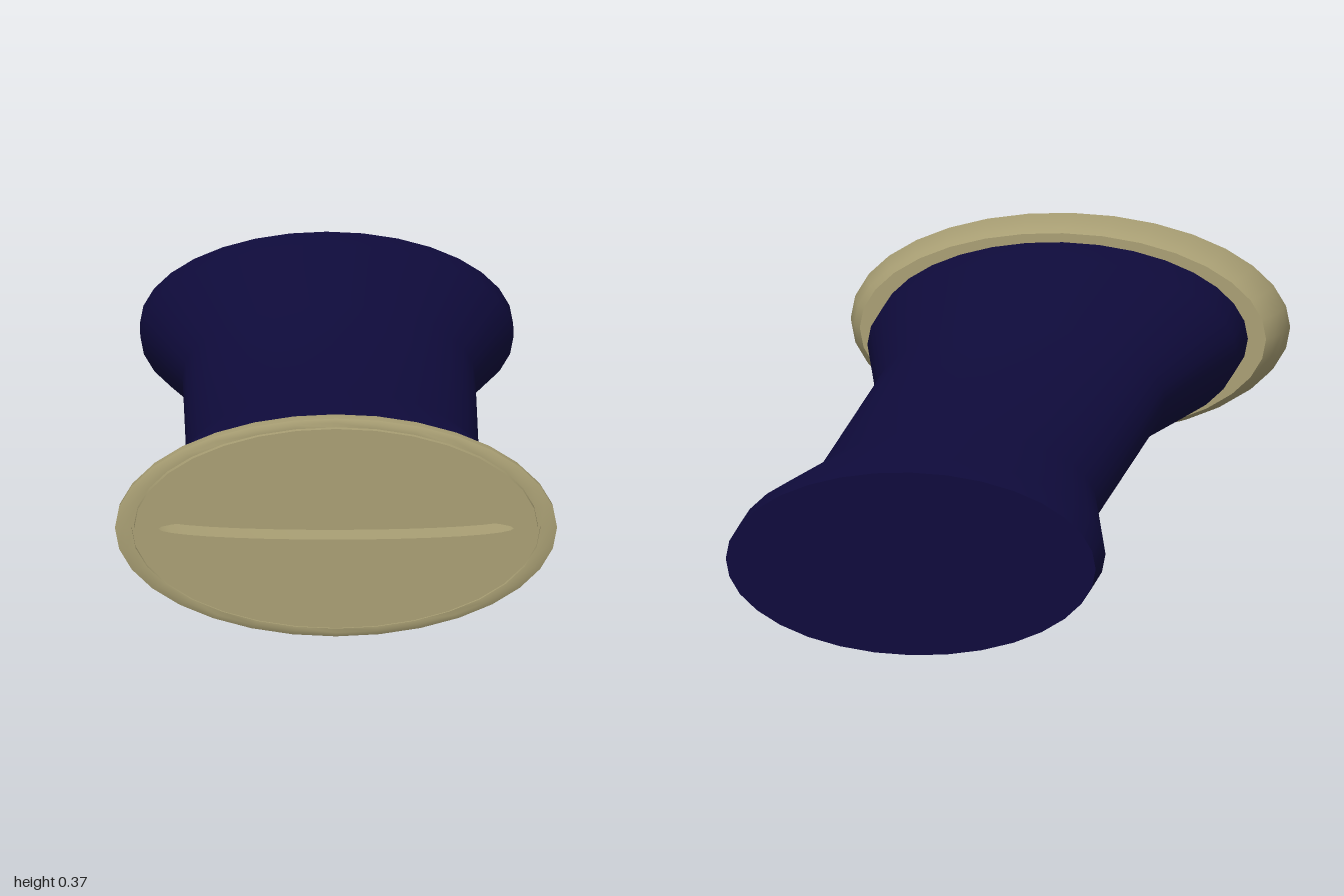
import * as THREE from 'three';
import { toCreasedNormals } from 'three/addons/utils/BufferGeometryUtils.js';

const SEGMENTS = 32;
const FLATTEN = 0.5; // height of the oval section relative to its width

// Oval solid along z from [half width, z] pairs
function ovalLathe(profile, crease) {
  const points = profile.map(([r, z]) => new THREE.Vector2(r, z));
  const geometry = new THREE.LatheGeometry(points, SEGMENTS);
  geometry.rotateX(Math.PI / 2);
  geometry.scale(1, FLATTEN, 1);
  return toCreasedNormals(geometry, crease);
}

function addPart(group, name, geometry, color) {
  const mesh = new THREE.Mesh(geometry, new THREE.MeshStandardMaterial({ color }));
  mesh.name = name;
  group.add(mesh);
}

function ovalPoints(rx, ry) {
  return Array.from({ length: SEGMENTS }, (_, i) => {
    const a = (i / SEGMENTS) * Math.PI * 2;
    return new THREE.Vector2(rx * Math.cos(a), ry * Math.sin(a));
  });
}

export function createModel() {
  const model = new THREE.Group();
  model.name = 'handle';
  const body = new THREE.Group();
  body.position.y = 0.187;
  model.add(body);
  const navy = 0x0f0b3c, tan = 0xa99f74;

  // Waisted grip, closed at both ends
  addPart(body, 'grip', ovalLathe([
    [0, -1], [0.315, -1], [0.315, -0.878], [0.247, -0.485],
    [0.247, 0.363], [0.315, 0.756], [0.315, 0.895], [0, 0.895],
  ], 0.6), navy);

  // Rounded collar with a narrow groove around the end plate
  addPart(body, 'collar', ovalLathe([
    [0, 0.887], [0.346, 0.887], [0.358, 0.905], [0.367, 0.935], [0.372, 0.965],
    [0.373, 0.99], [0.359, 0.994], [0.345, 0.994], [0.345, 0.975], [0.338, 0.975],
  ], 0.6), tan);

  // End plate pierced by a long, thin slot
  const plate = new THREE.Shape(ovalPoints(0.341, 0.341 * FLATTEN));
  plate.holes.push(new THREE.Path(ovalPoints(0.3, 0.019).reverse()));
  const plateGeometry = new THREE.ExtrudeGeometry(plate, { depth: 0.1, bevelEnabled: false });
  plateGeometry.translate(0, 0, 0.9);
  addPart(body, 'endPlate', toCreasedNormals(plateGeometry, 0.6), tan);

  // Floor of the slot
  const floor = new THREE.ShapeGeometry(new THREE.Shape(ovalPoints(0.302, 0.021)));
  floor.translate(0, 0, 0.905);
  addPart(body, 'slotFloor', floor, tan);

  return model;
}
